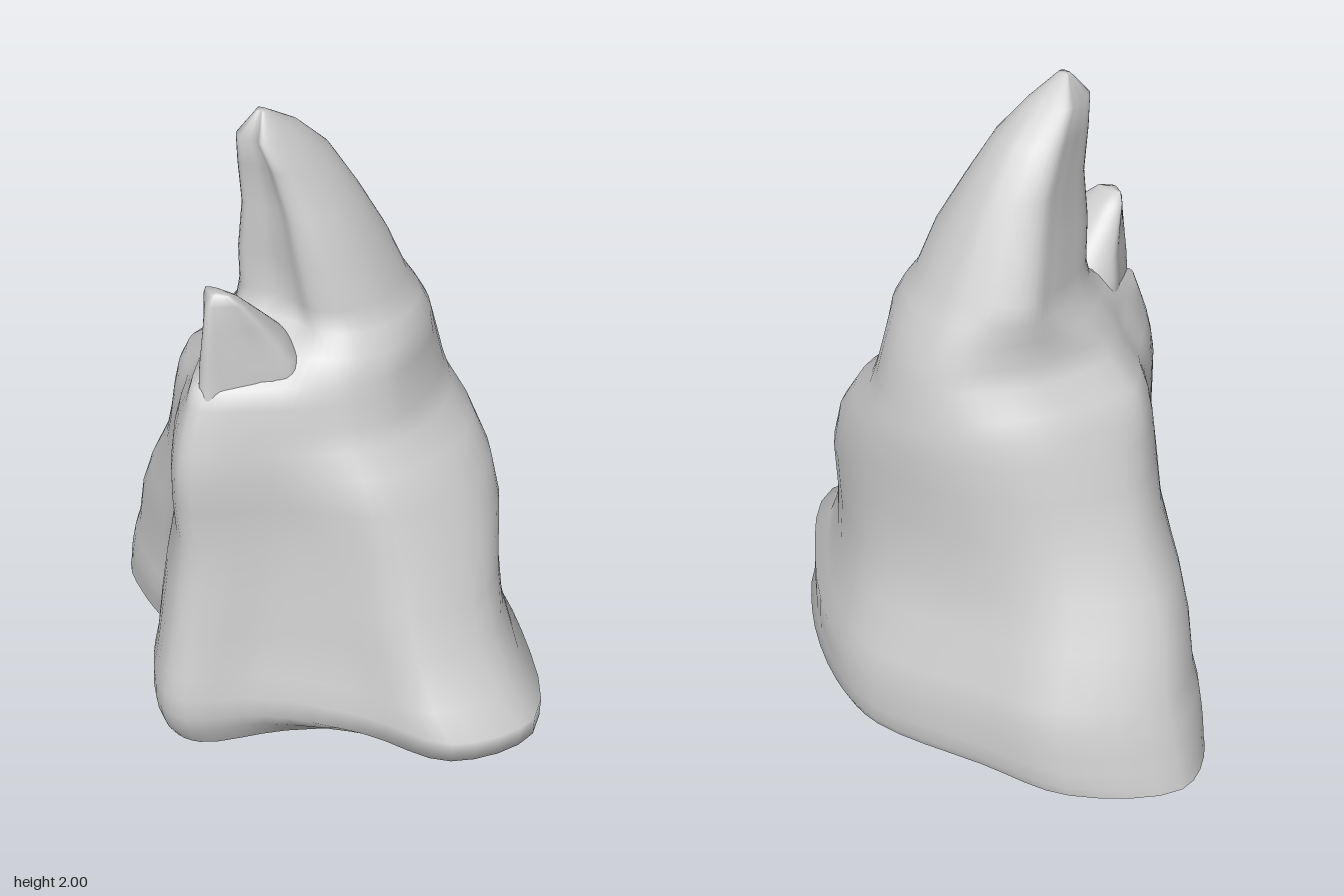
import * as THREE from 'three';

const SEGMENTS = 64;

// Plan outlines in a -1..1 box, [x, z], running right tip -> front -> left -> back
const SOLE = [[1, -.28], [.9, -.08], [.68, .17], [.27, .62], [.03, .98], [-.09, 1], [-.3, .74], [-.44, .4],
  [-.68, .25], [-.9, .05], [-1, -.3], [-.75, -.73], [-.42, -.86], [0, -1], [.3, -.92], [.76, -.6]];
const BASE = [[1, 0], [.87, .42], [.55, .53], [.22, .74], [.03, 1], [-.09, 1], [-.3, .74], [-.44, .4],
  [-.68, .25], [-.9, .05], [-1, -.3], [-.75, -.73], [-.42, -.86], [0, -1], [.25, -.93], [.69, -.52]];
const MIDDLE = [[1, -.2], [.85, .33], [.6, .52], [.36, .67], [.04, 1], [-.09, 1], [-.33, .76], [-.5, .54],
  [-.76, .33], [-.97, .04], [-1, -.2], [-.8, -.6], [-.44, -.88], [0, -1], [.42, -.96], [.87, -.63]];
const SHOULDER = [[1, 0], [.88, .3], [.68, .5], [.42, .72], [.05, 1], [-.09, 1], [-.4, .74], [-.6, .5],
  [-.85, .3], [-1, .1], [-.94, -.25], [-.78, -.58], [-.46, -.86], [0, -1], [.45, -.92], [.86, -.55]];
const SUMMIT = [[1, .2], [.85, .72], [.6, .92], [.35, .86], [.1, .85], [-.13, .93], [-.36, .98], [-.62, .78],
  [-.8, .35], [-.94, -.08], [-1, -.43], [-.7, -.74], [-.38, -.9], [0, -1], [.45, -.9], [.86, -.48]];
const WEDGE = [[1, -.3], [.6, .3], [.3, .72], [.08, 1], [-.1, 1], [-.35, .75], [-.7, .25], [-1, -.3], [-.5, -1], [.5, -1]];

// Heights at which each outline is reached
const STAGES = [[0, SOLE], [.12, BASE], [.2, BASE], [.85, MIDDLE], [1.1, SHOULDER], [1.22, SHOULDER], [1.42, SUMMIT], [2, SUMMIT]];

// Silhouette rows: y, left x, right x, back z, front z
const BODY_ROWS = [
  [0, -.9, .73, -.62, .59], [.03, -.89, .78, -.635, .61], [.08, -.875, .845, -.637, .63],
  [.13, -.86, .895, -.635, .64], [.2, -.84, .9, -.63, .64], [.27, -.81, .81, -.61, .62],
  [.42, -.76, .72, -.55, .585], [.55, -.69, .67, -.51, .56], [.72, -.59, .61, -.5, .53],
  [.85, -.54, .55, -.5, .545], [.96, -.5, .48, -.5, .545], [1.03, -.47, .4, -.49, .53],
  [1.1, -.43, .375, -.475, .51], [1.17, -.34, .355, -.46, .487], [1.23, -.315, .345, -.44, .46],
  [1.3, -.295, .33, -.41, .32], [1.36, -.28, .29, -.375, .2], [1.42, -.27, .245, -.34, .165],
  [1.55, -.24, .21, -.28, .18], [1.7, -.21, .13, -.2, .17], [1.84, -.2, .06, -.11, .185],
  [1.93, -.17, .0, -.01, .2], [2, -.1, -.06, .11, .14]];
const SPUR_ROWS = [
  [1.0, -.14, .11, .1, .48], [1.12, -.17, .14, .11, .485], [1.22, -.18, .16, .12, .46],
  [1.3, -.17, .14, .15, .455], [1.36, -.145, .11, .19, .449], [1.42, -.125, .085, .25, .442],
  [1.5, -.1, .045, .33, .432], [1.53, -.08, .01, .37, .41]];

const { lerp, smoothstep } = THREE.MathUtils;

// Plan of the main mass at a given height
function bodyOutline(y) {
  const i = STAGES.findIndex(([top]) => y <= top && top > 0);
  const [y0, a] = STAGES[i - 1], [y1, b] = STAGES[i];
  const t = smoothstep(y, y0, y1);
  return a.map((p, k) => [lerp(p[0], b[k][0], t), lerp(p[1], b[k][1], t)]);
}

// Fit an outline to one silhouette row and round it into a smooth loop
function section(outline, [y, left, right, back, front], centreX) {
  const cz = (front + back) / 2, hz = (front - back) / 2;
  const points = outline.map(([u, v]) => new THREE.Vector3(
    centreX + (u > 0 ? u * (right - centreX) : u * (centreX - left)), y, cz + v * hz));
  const curve = new THREE.CatmullRomCurve3(points, true, 'centripetal');
  return Array.from({ length: SEGMENTS }, (_, i) => curve.getPoint(i / SEGMENTS));
}

// Skin a stack of loops, with a smooth crown and a flat underside
function loft(rings) {
  const vertices = rings.flat();
  const index = [];
  const n = SEGMENTS;
  for (let r = 0; r < rings.length - 1; r++) {
    for (let j = 0; j < n; j++) {
      const a = r * n + j, b = r * n + (j + 1) % n;
      index.push(a, a + n, b, b, a + n, b + n);
    }
  }
  const mean = ring => ring.reduce((s, p) => s.add(p), new THREE.Vector3()).divideScalar(n);
  const crown = vertices.length, last = (rings.length - 1) * n;
  vertices.push(mean(rings.at(-1)));
  const under = vertices.length;
  vertices.push(mean(rings[0]), ...rings[0]);
  for (let j = 0; j < n; j++) {
    const k = (j + 1) % n;
    index.push(crown, last + k, last + j, under, under + 1 + j, under + 1 + k);
  }
  const geometry = new THREE.BufferGeometry().setFromPoints(vertices);
  geometry.setIndex(index);
  geometry.computeVertexNormals();
  return geometry;
}

export function createModel() {
  const group = new THREE.Group();
  group.name = 'rock';
  const material = new THREE.MeshStandardMaterial({ color: 0xcccccc });
  const add = (name, rings) => {
    const mesh = new THREE.Mesh(loft(rings), material);
    mesh.name = name;
    group.add(mesh);
  };

  // Main mass: broad lobed foot narrowing to a leaning summit
  add('mainPeak', BODY_ROWS.map(row => section(bodyOutline(row[0]), row, -.04 * row[0])));

  // Lower pinnacle growing out of the front ridge
  add('frontSpur', SPUR_ROWS.map(row => section(WEDGE, row, -.03)));

  return group;
}
